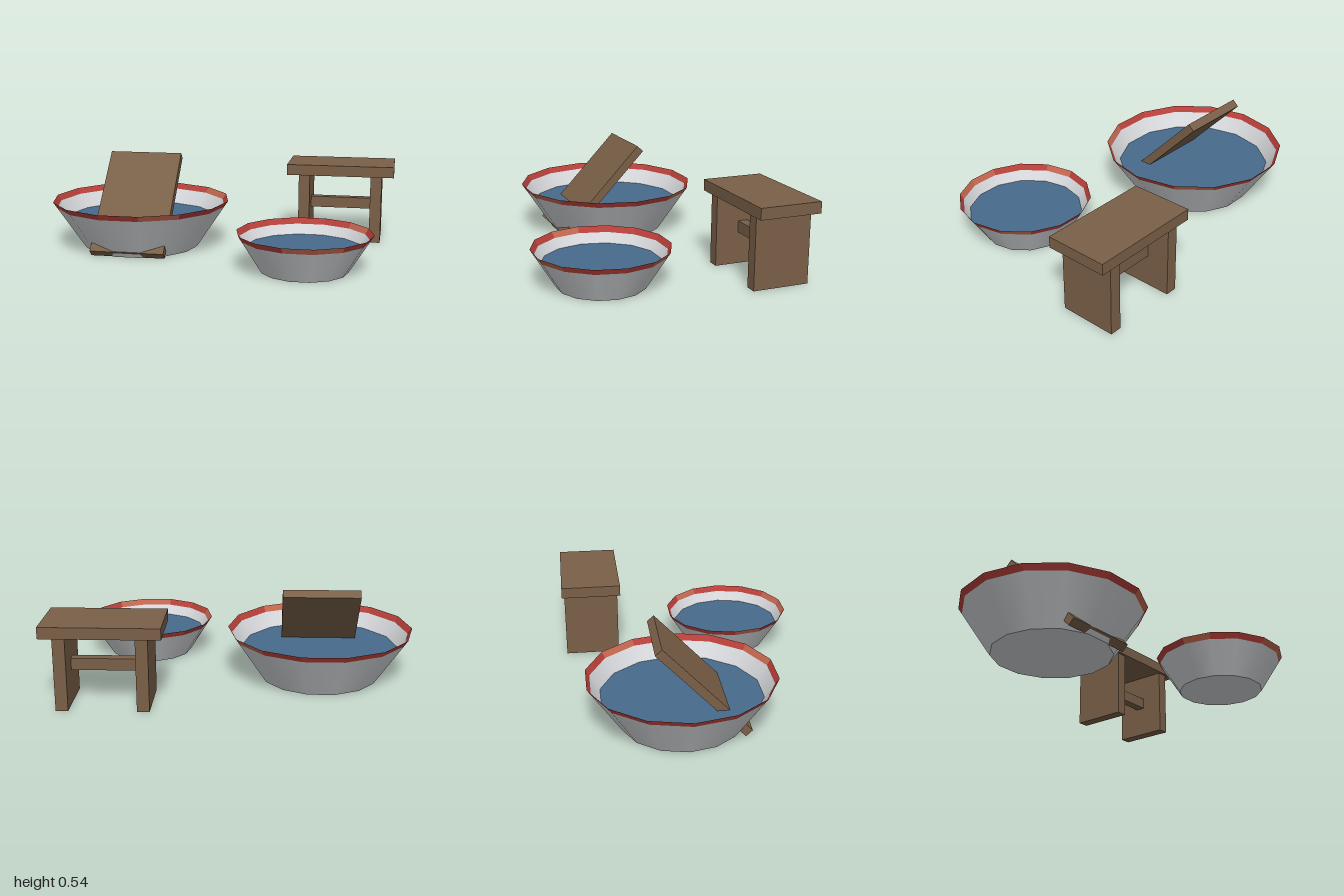
import * as THREE from 'three';

const SIDES = 14;

function material(name, color, side = THREE.FrontSide) {
  const m = new THREE.MeshStandardMaterial({ color, side });
  m.name = name;
  return m;
}

export function createModel() {
  const wood = material('wood', 0x7a6048);
  const enamel = material('enamel', 0xd6d8db, THREE.DoubleSide);
  const water = material('water', 0x486a8c);
  const red = material('red rim', 0xb8403a, THREE.DoubleSide);
  const terracotta = material('worn rim', 0xc4674f, THREE.DoubleSide);

  const model = new THREE.Group();
  model.name = 'laundryTubsAndStool';

  function add(parent, name, geometry, mat, x = 0, y = 0, z = 0) {
    const mesh = new THREE.Mesh(geometry, mat);
    mesh.name = name;
    mesh.position.set(x, y, z);
    parent.add(mesh);
    return mesh;
  }

  // Open conical band with a corner on the x axis
  const band = (rTop, rBottom, h) =>
    new THREE.CylinderGeometry(rTop, rBottom, h, SIDES, 1, true, Math.PI / 2).translate(0, h / 2, 0);
  const disc = (r) => new THREE.CircleGeometry(r, SIDES).rotateX(-Math.PI / 2);

  // Thin flared tub: wall, floor, coloured rim and water
  function tub(name, x, z, { base, top, height, rimHeight, waterLevel, worn }) {
    const group = new THREE.Group();
    group.name = name;
    group.position.set(x, 0, z);
    const radiusAt = (y) => base + ((top - base) * y) / height;
    const rimY = height - rimHeight;

    add(group, 'wall', band(radiusAt(rimY), base, rimY), enamel);
    add(group, 'floor', disc(base), enamel);
    add(group, 'water', disc(radiusAt(waterLevel)), water, 0, waterLevel);

    const rim = band(top, radiusAt(rimY), rimHeight).toNonIndexed();
    rim.computeVertexNormals();
    rim.clearGroups();
    for (let k = 0; k < SIDES; k++) rim.addGroup(k * 6, 6, worn.includes(k) ? 1 : 0);
    add(group, 'rim', rim, [red, terracotta], 0, rimY);
    model.add(group);
    return group;
  }

  const largeTub = tub('largeTub', -0.475, -0.08, {
    base: 0.335, top: 0.522, height: 0.28, rimHeight: 0.033, waterLevel: 0.165, worn: [1, 11],
  });
  tub('smallTub', 0.538, 0.328, {
    base: 0.24, top: 0.372, height: 0.21, rimHeight: 0.032, waterLevel: 0.125, worn: [1, 7, 10, 11],
  });

  // Washboard leaning back through the large tub
  const board = add(largeTub, 'washboard', new THREE.BoxGeometry(0.43, 0.693, 0.049), wood, 0, 0.268, 0.096);
  board.rotation.x = -0.761;

  // Stool: seat, two plank legs and a stretcher
  const stool = new THREE.Group();
  stool.name = 'stool';
  stool.position.set(0.678, 0, -0.521);
  model.add(stool);
  add(stool, 'seat', new THREE.BoxGeometry(0.636, 0.063, 0.35), wood, 0, 0.432, 0);
  for (const side of [-1, 1]) {
    add(stool, side < 0 ? 'rightLeg' : 'leftLeg',
      new THREE.BoxGeometry(0.066, 0.4, 0.32), wood, side * 0.214, 0.2, 0);
  }
  add(stool, 'stretcher', new THREE.BoxGeometry(0.364, 0.065, 0.055), wood, 0, 0.213, 0);

  return model;
}
